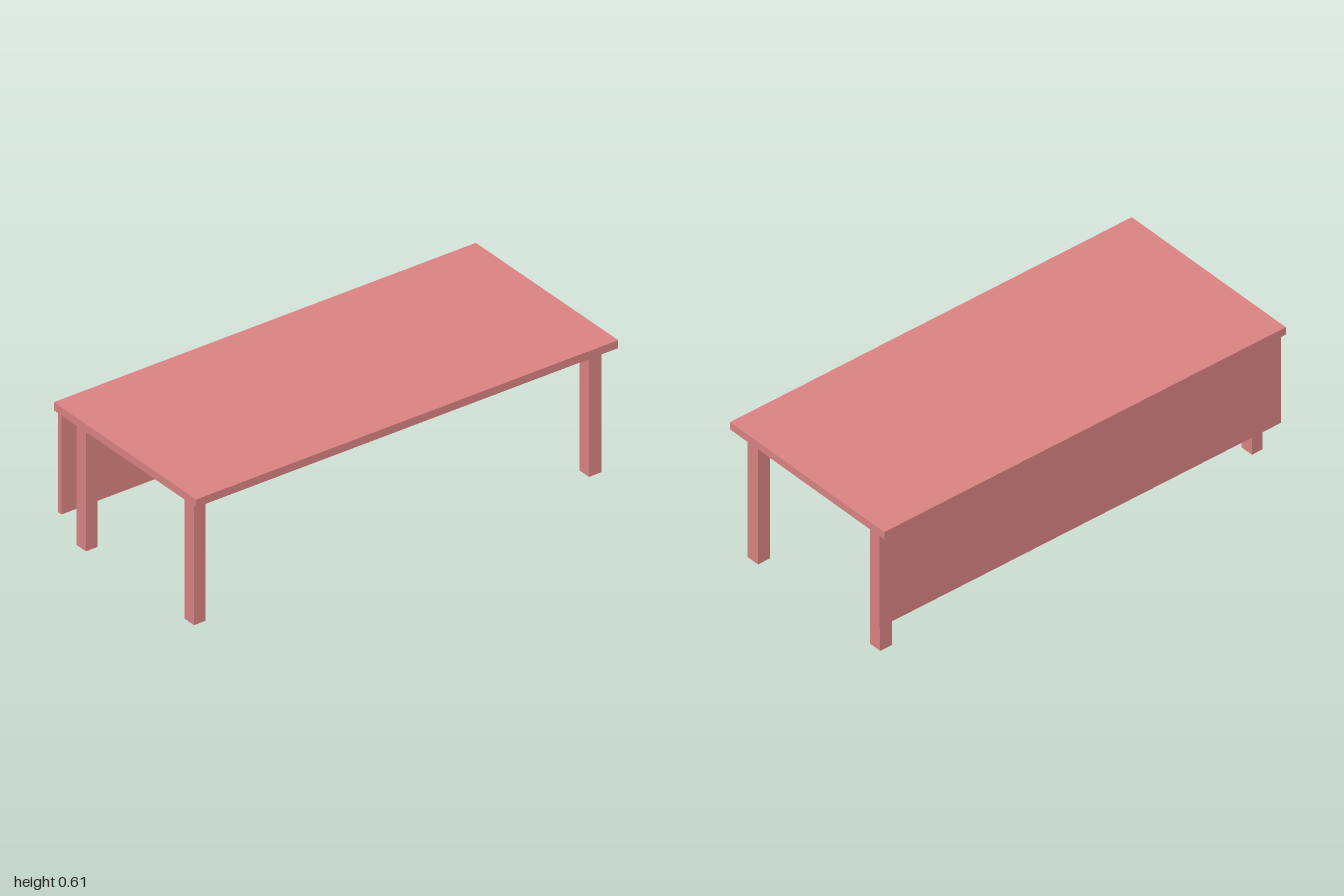
import * as THREE from 'three';

export function createModel() {
  const model = new THREE.Group();
  model.name = 'desk';
  const material = new THREE.MeshStandardMaterial({ color: 0xdd8484 });

  // Adds a box spanning the given [min, max] ranges
  function addBox(name, [x0, x1], [y0, y1], [z0, z1]) {
    const mesh = new THREE.Mesh(new THREE.BoxGeometry(x1 - x0, y1 - y0, z1 - z0), material);
    mesh.position.set((x0 + x1) / 2, (y0 + y1) / 2, (z0 + z1) / 2);
    mesh.name = name;
    model.add(mesh);
  }

  const underside = 0.576;

  // Top board and the hanging panel along the right side
  addBox('tableTop', [-0.454, 0.454], [underside, 0.611], [-1, 1]);
  addBox('modestyPanel', [-0.426, -0.404], [0.139, underside], [-1, 1]);

  // Legs: the back right one stands against the panel
  const front = [0.9, 0.954], back = [-0.977, -0.918];
  const legs = [
    ['frontLeftLeg', 0.317, 0.004, front],
    ['backLeftLeg', 0.317, 0, back],
    ['frontRightLeg', -0.372, 0.004, front],
    ['backRightLeg', -0.403, 0.004, back],
  ];
  for (const [name, x, foot, z] of legs) addBox(name, [x, x + 0.061], [foot, underside], z);

  return model;
}
